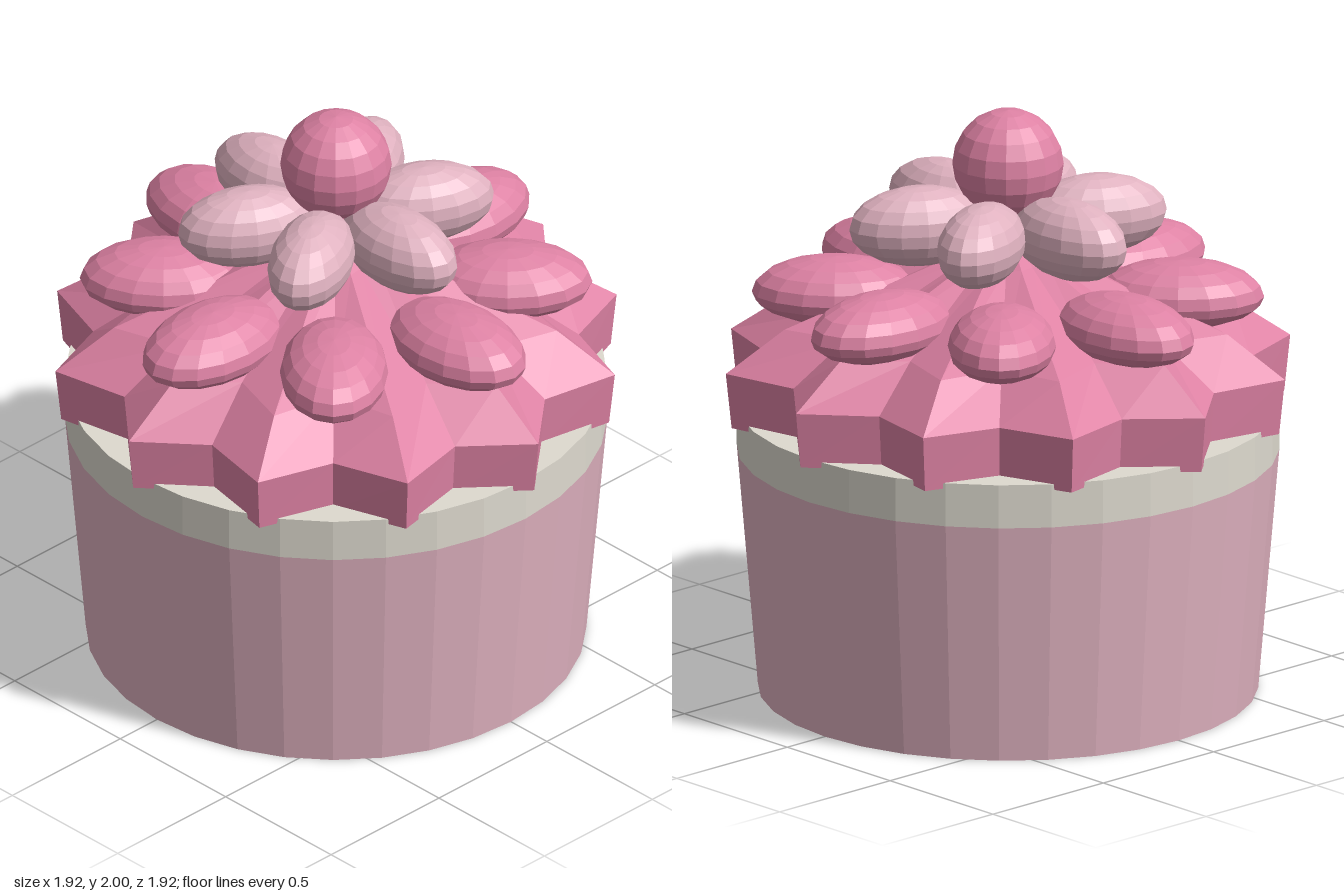
import * as THREE from 'three';

const makeMaterial = (name, color) => {
  const m = new THREE.MeshStandardMaterial({ color, flatShading: true });
  m.name = name;
  return m;
};

// Star-shaped rings [tipRadius, valleyRadius, y], listed from bottom to top
function starGeometry(rings, points) {
  const n = points * 2, pos = [], index = [];
  for (const [tip, valley, y] of rings) {
    for (let j = 0; j < n; j++) {
      const a = (j / n) * Math.PI * 2, r = j % 2 ? valley : tip;
      pos.push(Math.sin(a) * r, y, Math.cos(a) * r);
    }
  }
  for (let i = 0; i < rings.length - 1; i++) {
    for (let j = 0; j < n; j++) {
      const k = (j + 1) % n;
      const a = i * n + j, b = i * n + k, c = a + n, d = b + n;
      index.push(a, b, d, a, d, c);
    }
  }
  const g = new THREE.BufferGeometry();
  g.setAttribute('position', new THREE.Float32BufferAttribute(pos, 3));
  g.setIndex(index);
  const flat = g.toNonIndexed();
  flat.computeVertexNormals();
  return flat;
}

// Ellipsoid with different heights above and below its widest line
function petalGeometry(width, up, down, length) {
  const g = new THREE.SphereGeometry(1, 16, 10);
  const p = g.attributes.position;
  for (let i = 0; i < p.count; i++) {
    const y = p.getY(i);
    p.setXYZ(i, p.getX(i) * width, y * (y > 0 ? up : down), p.getZ(i) * length);
  }
  g.computeVertexNormals();
  return g;
}

export function createModel() {
  const model = new THREE.Group();
  model.name = 'cupcake';
  const palePink = makeMaterial('pale pink', 0xe0b2c0);
  const deepPink = makeMaterial('deep pink', 0xde82a4);
  const cream = makeMaterial('cream', 0xdedacf);

  const add = (parent, name, geometry, material, y = 0) => {
    const mesh = new THREE.Mesh(geometry, material);
    mesh.name = name;
    mesh.position.y = y;
    parent.add(mesh);
    return mesh;
  };

  // Tapered cup with a cream band around its top
  add(model, 'cup', new THREE.CylinderGeometry(0.9, 0.83, 0.83, 32), palePink, 0.415);
  add(model, 'rim', new THREE.CylinderGeometry(0.9, 0.9, 0.15, 32), cream, 0.905);

  // Twelve-pointed frosting rising to a peak
  add(model, 'frosting', starGeometry([
    [0, 0, 0.96], [0.94, 0.79, 0.96], [0.96, 0.805, 1.15],
    [0.76, 0.61, 1.29], [0.2, 0.17, 1.5], [0, 0, 1.6],
  ], 12), deepPink);

  // Rings of petals pointing outwards
  const ring = (name, count, radius, y, geometry, material) => {
    const group = new THREE.Group();
    group.name = name + 'Ring';
    for (let i = 0; i < count; i++) {
      const a = (i / count) * Math.PI * 2;
      const mesh = add(group, name, geometry, material, y);
      mesh.position.x = Math.sin(a) * radius;
      mesh.position.z = Math.cos(a) * radius;
      mesh.rotation.y = a;
    }
    model.add(group);
  };
  ring('lowerPetal', 8, 0.57, 1.36, petalGeometry(0.18, 0.125, 0.1, 0.28), deepPink);
  ring('upperPetal', 6, 0.3, 1.62, petalGeometry(0.137, 0.135, 0.135, 0.24), palePink);

  // Round topping
  add(model, 'topBall', new THREE.SphereGeometry(0.185, 16, 10), deepPink, 1.815);

  return model;
}
